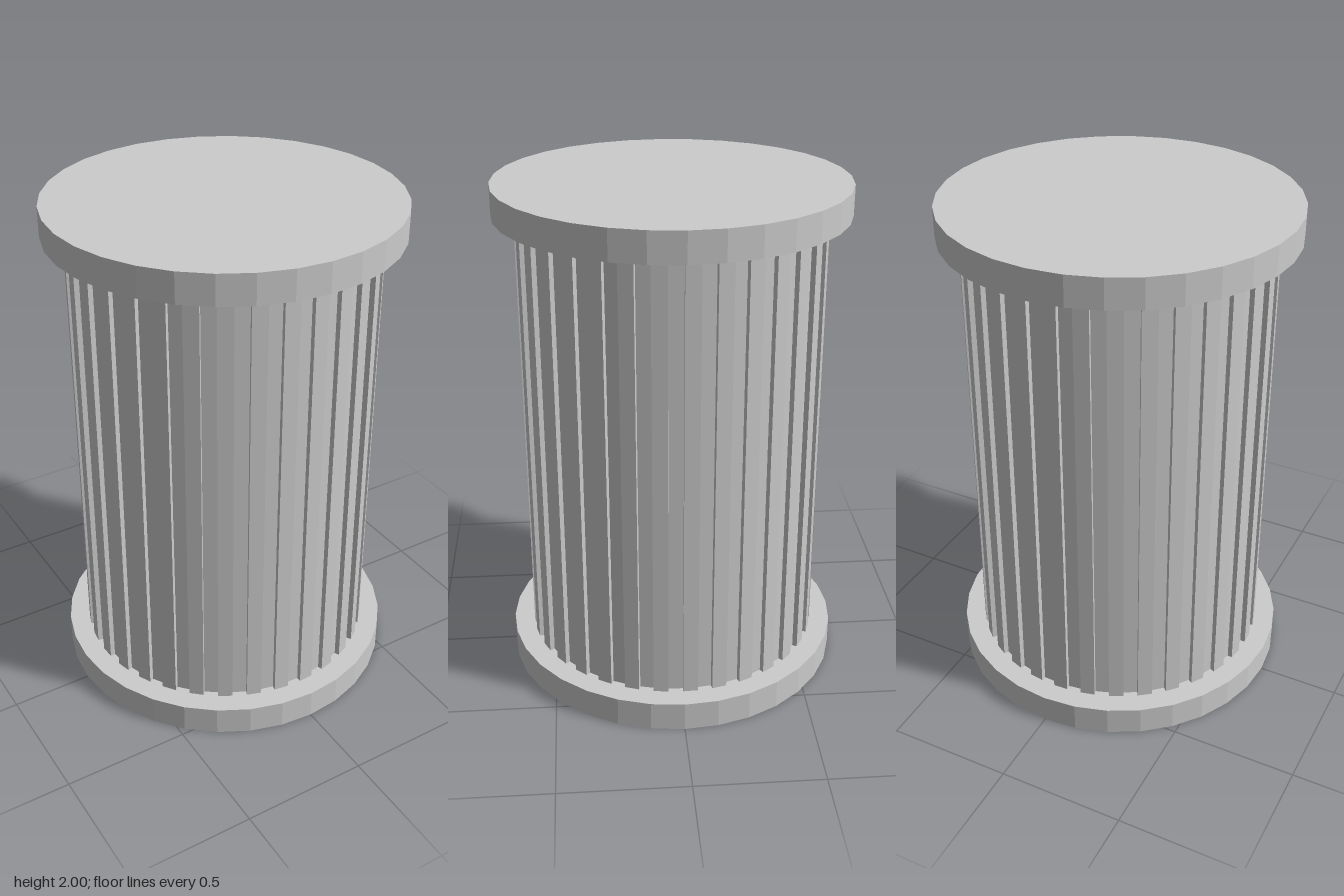
import * as THREE from 'three';

const material = new THREE.MeshStandardMaterial({ color: 0xcccccc, flatShading: true });
const CAP_RADIUS = 0.675, CAP_HEIGHT = 0.117;
const RIB_RADIUS = 0.592, GROOVE_RADIUS = 0.572, STEPS = 64;

function addCap(group, name, y) {
  const cap = new THREE.Mesh(new THREE.CylinderGeometry(CAP_RADIUS, CAP_RADIUS, CAP_HEIGHT, 32), material);
  cap.name = name;
  cap.position.y = y;
  group.add(cap);
}

// Star-like outline: grooves and ribs alternate around the circle
function flutedOutline() {
  const points = [];
  for (let i = 0; i < STEPS; i++) {
    const radius = i % 2 ? RIB_RADIUS : GROOVE_RADIUS;
    for (const k of [i, i + 1]) {
      const a = (k / STEPS) * Math.PI * 2;
      points.push(new THREE.Vector2(Math.cos(a) * radius, Math.sin(a) * radius));
    }
  }
  return new THREE.Shape(points);
}

export function createModel() {
  const group = new THREE.Group();
  group.name = 'flutedColumn';

  // Round slabs at both ends
  addCap(group, 'baseSlab', CAP_HEIGHT / 2);
  addCap(group, 'topSlab', 2 - CAP_HEIGHT / 2);

  // Fluted shaft between the slabs
  const geometry = new THREE.ExtrudeGeometry(flutedOutline(), { depth: 2 - 2 * CAP_HEIGHT, bevelEnabled: false });
  geometry.rotateX(Math.PI / 2);
  geometry.translate(0, 2 - CAP_HEIGHT, 0);
  const shaft = new THREE.Mesh(geometry, material);
  shaft.name = 'flutedShaft';
  group.add(shaft);

  return group;
}
